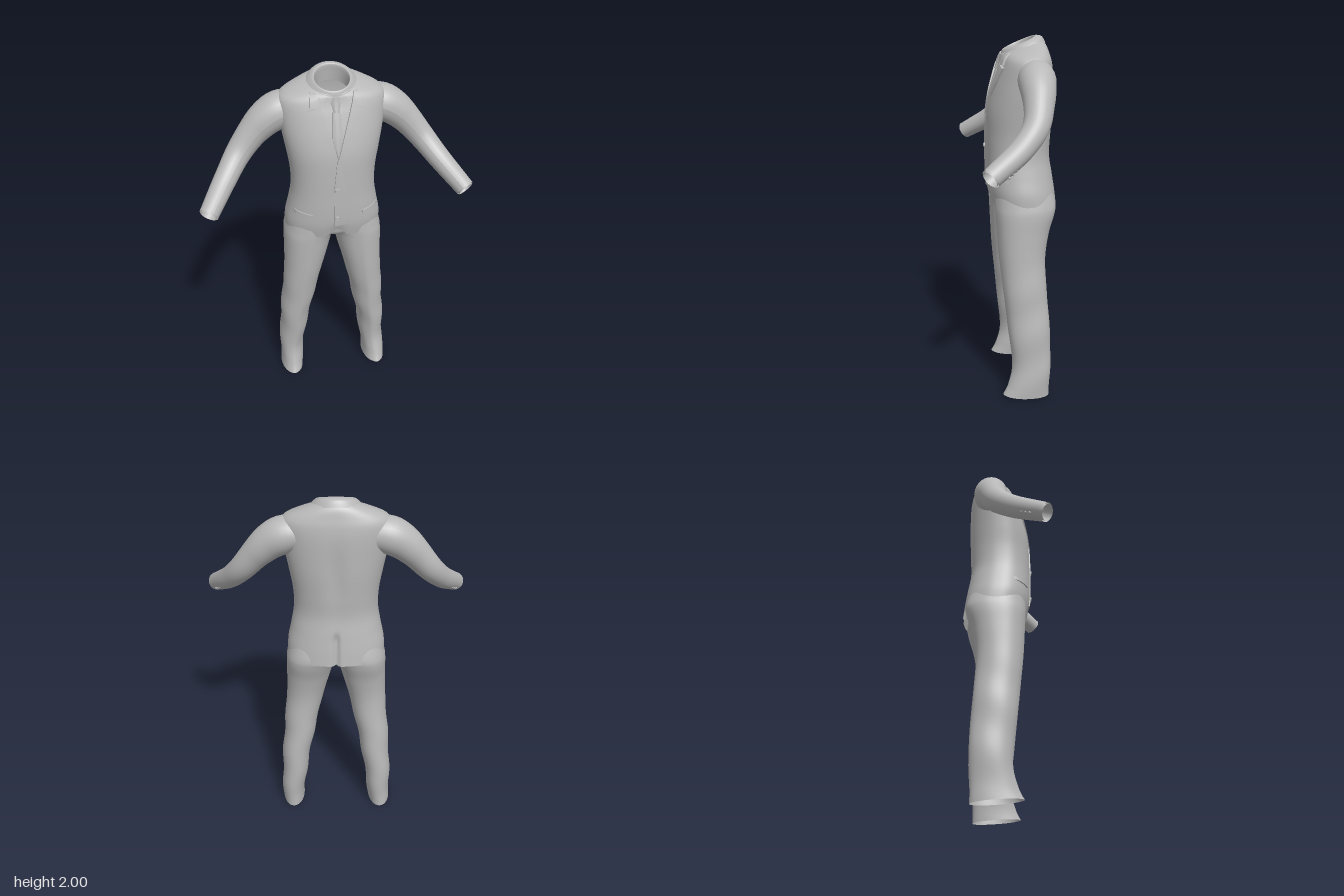
import * as THREE from 'three';
import { toCreasedNormals } from 'three/addons/utils/BufferGeometryUtils.js';

const cloth = new THREE.MeshStandardMaterial({ color: 0xb8b8b8, side: THREE.DoubleSide });
cloth.name = 'grey cloth';

function add(group, name, geometry) {
  const mesh = new THREE.Mesh(geometry, cloth);
  mesh.name = name;
  group.add(mesh);
  return mesh;
}

// Smooth blend through a list of cross-section rows, t in 0..1
function rowAt(rows, t) {
  const n = rows.length - 1;
  const i = Math.min(Math.floor(t * n), n - 1), f = t * n - i;
  const a = rows[Math.max(i - 1, 0)], b = rows[i], c = rows[i + 1], d = rows[Math.min(i + 2, n)];
  return b.map((v, k) => v + 0.5 * f * (c[k] - a[k]
    + f * (2 * a[k] - 5 * v + 4 * c[k] - d[k] + f * (3 * (v - c[k]) + d[k] - a[k]))));
}

// Row: [y, centre x, half width, front z, back z, tilt, roundness]
function ringPoint([y, cx, w, zf, zb, tilt, n], a) {
  const c = Math.cos(a), s = Math.sin(a), zc = (zf + zb) / 2;
  const dz = (zf - zb) / 2 * Math.sign(s) * Math.abs(s) ** (2 / n);
  return new THREE.Vector3(cx + w * Math.sign(c) * Math.abs(c) ** (2 / n), y - tilt * dz, zc + dz);
}

function loft(rows, seg, steps, tweak = () => {}) {
  const pos = [], idx = [];
  for (let j = 0; j <= steps; j++) {
    const row = rowAt(rows, j / steps);
    for (let i = 0; i < seg; i++) {
      const p = ringPoint(row, i / seg * Math.PI * 2);
      tweak(p);
      pos.push(p.x, p.y, p.z);
      if (j === steps) continue;
      const a = j * seg + i, b = j * seg + (i + 1) % seg;
      idx.push(a, a + seg, b, b, a + seg, b + seg);
    }
  }
  const g = new THREE.BufferGeometry();
  g.setAttribute('position', new THREE.Float32BufferAttribute(pos, 3));
  g.setIndex(idx);
  g.computeVertexNormals();
  return g;
}

const bodyRows = [
  [1.10, 0, 0.265, 0.120, -0.242, 0, 2.3],
  [1.18, 0, 0.262, 0.136, -0.232, 0, 2.3],
  [1.27, 0, 0.243, 0.142, -0.218, 0, 2.3],
  [1.37, 0, 0.226, 0.143, -0.203, 0, 2.3],
  [1.48, 0, 0.227, 0.143, -0.208, 0, 2.3],
  [1.60, 0, 0.245, 0.138, -0.214, 0, 2.3],
  [1.70, 0, 0.262, 0.118, -0.214, 0, 2.3],
  [1.80, 0, 0.275, 0.088, -0.212, 0, 2.3],
  [1.86, 0, 0.275, 0.068, -0.205, 0.03, 2.3],
  [1.895, 0, 0.250, 0.060, -0.195, 0.10, 2.2],
  [1.925, 0, 0.185, 0.056, -0.183, 0.20, 2.1],
  [1.945, 0, 0.125, 0.052, -0.165, 0.30, 2],
];

// Front z of the jacket at a given x and y
function frontZ(x, y) {
  let lo = 0, hi = 1, p;
  for (let k = 0; k < 22; k++) {
    const t = (lo + hi) / 2, row = rowAt(bodyRows, t);
    const c = THREE.MathUtils.clamp(x / row[2], -1, 1);
    p = ringPoint(row, Math.acos(Math.sign(c) * Math.abs(c) ** (row[6] / 2)));
    if (p.y < y) lo = t; else hi = t;
  }
  return p.z;
}

// Raised cloth piece between two edges [[x, y], ...], laid on the jacket front
function patch(left, right, lift, mirror = 1) {
  const nu = 10, nv = 20, pos = [], idx = [];
  const at = (pts, t) => {
    const i = Math.min(Math.floor(t * (pts.length - 1)), pts.length - 2);
    const f = t * (pts.length - 1) - i;
    return pts[i].map((v, k) => v + (pts[i + 1][k] - v) * f);
  };
  for (let j = 0; j <= nv; j++) for (let i = 0; i <= nu; i++) {
    const u = THREE.MathUtils.clamp((i - 1) / (nu - 2), 0, 1);
    const v = THREE.MathUtils.clamp((j - 1) / (nv - 2), 0, 1);
    const l = at(left, v), r = at(right, v);
    const x = (l[0] + (r[0] - l[0]) * u) * mirror, y = l[1] + (r[1] - l[1]) * u;
    const border = i === 0 || j === 0 || i === nu || j === nv;
    pos.push(x, y, frontZ(x, y) + (border ? -0.004 : lift(u, v)));
    if (i === nu || j === nv) continue;
    const a = j * (nu + 1) + i, b = a + 1, c = a + nu + 1, d = c + 1;
    if (mirror > 0) idx.push(a, b, c, b, d, c); else idx.push(a, c, b, b, c, d);
  }
  const g = new THREE.BufferGeometry();
  g.setAttribute('position', new THREE.Float32BufferAttribute(pos, 3));
  g.setIndex(idx);
  return toCreasedNormals(g, 0.7);
}

// Tube whose radius follows a list of values along its length
function taperedTube(points, radii, name, group) {
  const path = new THREE.CatmullRomCurve3(points.map(p => new THREE.Vector3(...p)));
  const segs = 40, sides = 28, g = new THREE.TubeGeometry(path, segs, 1, sides);
  const pos = g.attributes.position, p = new THREE.Vector3();
  const rows = radii.map(r => [r]);
  for (let i = 0; i < pos.count; i++) {
    const t = Math.floor(i / (sides + 1)) / segs, c = path.getPointAt(t);
    p.fromBufferAttribute(pos, i).sub(c).multiplyScalar(rowAt(rows, t)[0]).add(c);
    pos.setXYZ(i, p.x, p.y, p.z);
  }
  g.computeVertexNormals();
  add(group, name, g);
}

export function createModel() {
  const model = new THREE.Group();
  model.name = 'suit';

  // Jacket body with cutaway front hem, back vent and spine hollow
  add(model, 'jacketBody', loft(bodyRows, 160, 70, p => {
    const low = THREE.MathUtils.clamp((1.22 - p.y) / 0.12, 0, 1);
    if (p.z > 0) p.y += 0.05 * low * Math.exp(-((p.x / 0.05) ** 2));
    else {
      p.z += 0.022 * THREE.MathUtils.smoothstep(1.3 - p.y, 0, 0.06) * Math.exp(-((p.x / 0.012) ** 2));
      p.z += 0.012 * Math.exp(-((p.x / 0.05) ** 2) - ((p.y - 1.6) / 0.16) ** 2);
    }
  }));

  // Standing collar, rolled over the top and down inside the neck
  add(model, 'collar', loft([
    [1.925, 0, 0.140, 0.058, -0.180, 0.32, 2],
    [1.950, 0, 0.116, 0.055, -0.162, 0.40, 2],
    [1.962, 0, 0.097, 0.050, -0.134, 0.42, 2],
    [1.958, 0, 0.088, 0.044, -0.122, 0.42, 2],
    [1.925, 0, 0.084, 0.040, -0.125, 0.40, 2],
    [1.880, 0, 0.084, 0.040, -0.130, 0.35, 2],
  ], 64, 30));

  // Shirt collar leaves, lapels, pocket flaps
  for (const [side, m] of [['left', 1], ['right', -1]]) {
    add(model, side + 'ShirtCollarLeaf', patch(
      [[0.048, 1.83], [0.028, 1.87], [0.012, 1.905]], [[0.052, 1.83], [0.07, 1.88], [0.08, 1.918]], () => 0.010, m));
    add(model, side + 'Lapel', patch(
      [[0.0, 1.59], [0.03, 1.70], [0.06, 1.80], [0.078, 1.86]],
      [[0.006, 1.59], [0.062, 1.69], [0.112, 1.77], [0.147, 1.838]], (u, v) => 0.007 + 0.006 * v, m));
    add(model, side + 'UpperCollar', patch(
      [[0.078, 1.855], [0.086, 1.89], [0.094, 1.915]],
      [[0.128, 1.853], [0.126, 1.885], [0.12, 1.915]], () => 0.011, m));
    add(model, side + 'PocketFlap', patch(
      [[0.135, 1.245], [0.135, 1.262]], [[0.225, 1.25], [0.225, 1.27]], () => 0.009, m));
  }

  // Tie and overlapping front edge
  add(model, 'tie', patch(
    [[-0.003, 1.60], [-0.026, 1.70], [-0.018, 1.83]], [[0.003, 1.60], [0.026, 1.70], [0.018, 1.83]],
    u => 0.004 + 0.006 * Math.sin(Math.PI * u)));
  add(model, 'tieKnot', patch(
    [[-0.014, 1.83], [-0.024, 1.87], [-0.018, 1.90]], [[0.014, 1.83], [0.024, 1.87], [0.018, 1.90]],
    u => 0.006 + 0.010 * Math.sin(Math.PI * u)));
  add(model, 'frontOverlap', patch(
    [[-0.022, 1.19], [-0.024, 1.4], [-0.006, 1.59]], [[0.06, 1.19], [0.06, 1.4], [0.01, 1.59]],
    u => 0.007 * (1 - u) - 0.002 * u));

  // Front buttons
  for (const y of [1.24, 1.415]) {
    const button = add(model, 'frontButton', new THREE.CylinderGeometry(0.012, 0.014, 0.008, 20));
    button.rotation.x = Math.PI / 2;
    button.position.set(-0.006, y, frontZ(-0.006, y) + 0.008);
  }

  // Sleeves with shirt cuffs and small cuff buttons
  for (const [side, m] of [['left', 1], ['right', -1]]) {
    const sleeve = new THREE.Group();
    sleeve.name = side + 'Sleeve';
    taperedTube([
      [0.17 * m, 1.80, -0.09], [0.255 * m, 1.793, -0.088], [0.325 * m, 1.757, -0.083], [0.395 * m, 1.695, -0.075],
      [0.485 * m, 1.59, -0.045], [0.565 * m, 1.495, 0.04], [0.67 * m, 1.387, 0.2],
    ], [0.085, 0.097, 0.089, 0.076, 0.068, 0.062, 0.058, 0.054, 0.050], 'sleeveTube', sleeve);
    taperedTube([[0.61 * m, 1.449, 0.108], [0.64 * m, 1.418, 0.154], [0.673 * m, 1.384, 0.205]],
      [0.040, 0.042, 0.043], 'shirtCuff', sleeve);
    for (let i = 0; i < 3; i++) {
      const button = add(sleeve, 'cuffButton', new THREE.SphereGeometry(0.008, 10, 8));
      button.position.set((0.662 - 0.014 * i) * m, 1.388 + 0.013 * i, 0.115 - 0.02 * i);
    }
    model.add(sleeve);
  }

  // Trousers: seat and two open legs
  add(model, 'trouserSeat', loft([
    [1.065, 0, 0.03, -0.02, -0.09, 0, 2],
    [1.085, 0, 0.12, 0.07, -0.18, 0, 2.2],
    [1.13, 0, 0.235, 0.105, -0.21, 0, 2.4],
    [1.25, 0, 0.225, 0.11, -0.19, 0, 2.4],
  ], 48, 16));
  const legRows = [
    [0.012, 0.268, 0.066, 0.085, -0.175, -0.08, 2.1],
    [0.08, 0.265, 0.068, 0.055, -0.176, -0.03, 2.1],
    [0.20, 0.257, 0.073, 0.030, -0.184, 0, 2.1],
    [0.40, 0.237, 0.083, 0.050, -0.181, 0, 2.1],
    [0.60, 0.209, 0.094, 0.070, -0.168, 0, 2.1],
    [0.80, 0.178, 0.107, 0.090, -0.160, 0, 2.1],
    [0.95, 0.155, 0.123, 0.100, -0.182, 0, 2.2],
    [1.06, 0.139, 0.136, 0.106, -0.215, 0, 2.3],
    [1.12, 0.120, 0.145, 0.108, -0.222, 0, 2.3],
    [1.22, 0.110, 0.130, 0.105, -0.195, 0, 2.2],
  ];
  for (const [side, m] of [['left', 1], ['right', -1]]) {
    const rows = legRows.map(([y, x, ...rest]) => [y, x * m, ...rest]);
    // Soft front crease and shallow folds above the hem
    add(model, side + 'TrouserLeg', loft(rows, 56, 60, p => {
      const cx = m * (0.275 - 0.12 * p.y);
      if (p.z > -0.05) p.z += 0.005 * Math.exp(-(((p.x - cx) / 0.02) ** 2));
      p.x += 0.004 * Math.sin(p.y * 22 + p.z * 9) * THREE.MathUtils.smoothstep(0.9 - p.y, 0, 0.4);
    }));
  }
  return model;
}
